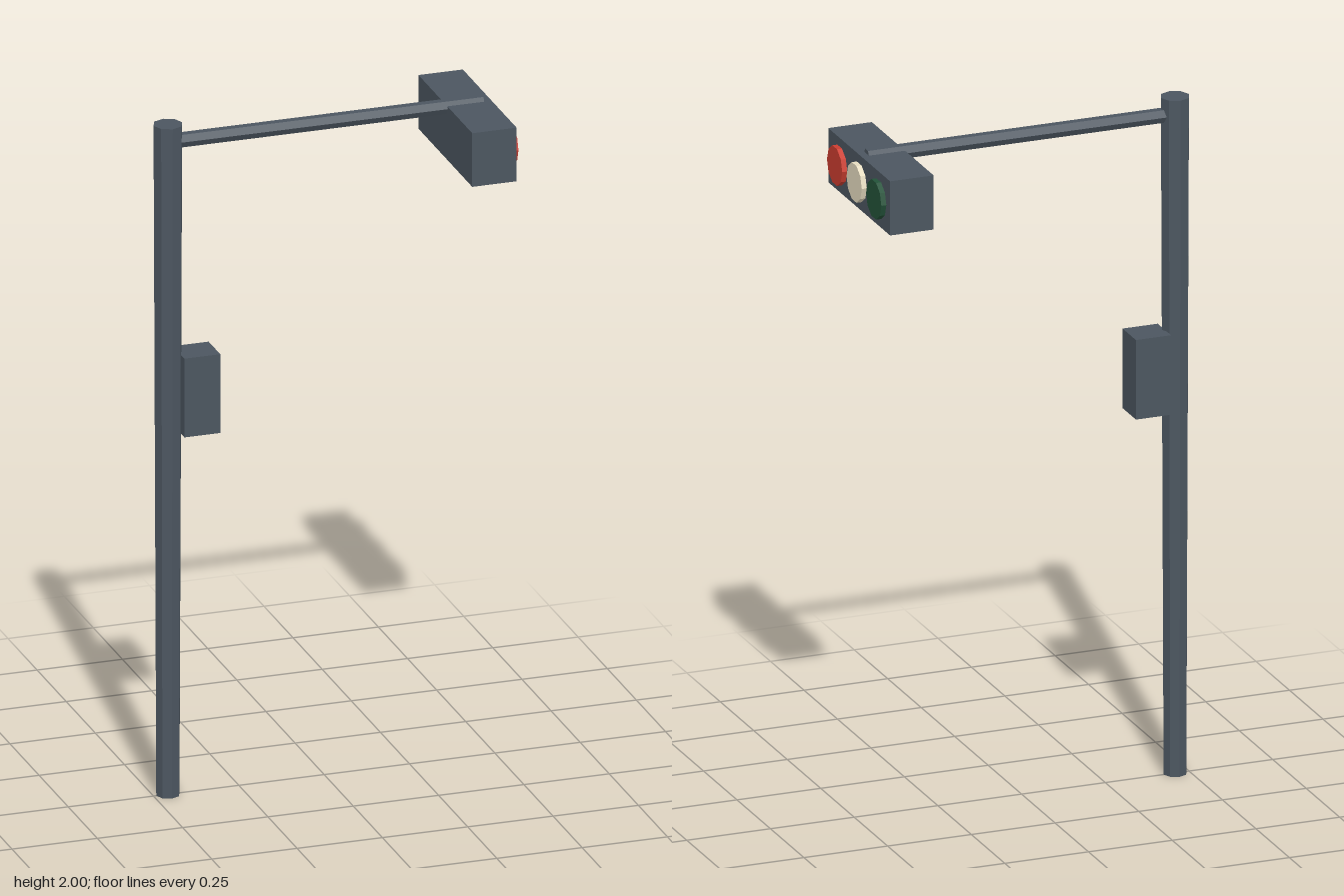
import * as THREE from 'three';

const paint = (color) => new THREE.MeshStandardMaterial({ color, flatShading: true });

export function createModel() {
  const group = new THREE.Group();
  const steel = paint(0x4c5660);

  function add(name, geometry, material, x, y, z) {
    const mesh = new THREE.Mesh(geometry, material);
    mesh.name = name;
    mesh.position.set(x, y, z);
    group.add(mesh);
    return mesh;
  }

  // Cylinder lying along x
  const rod = (radius, length, sides) =>
    new THREE.CylinderGeometry(radius, radius, length, sides).rotateZ(Math.PI / 2);

  // Octagonal pole, slightly wider at the top
  add('pole', new THREE.CylinderGeometry(0.042, 0.034, 2, 8), steel, -0.458, 1, 0);

  // Hexagonal arm reaching out over the road
  add('arm', rod(0.0215, 0.913, 6), steel, 0.0065, 1.948, 0);

  // Control box on the pole
  add('controlBox', new THREE.BoxGeometry(0.105, 0.235, 0.1), steel, -0.374, 1.197, 0);

  // Signal housing with three lamps facing +x
  add('signalHousing', new THREE.BoxGeometry(0.13, 0.16, 0.462), steel, 0.42, 1.875, 0);
  const lamps = [
    ['redLamp', 0xcc3d30, 0.146],
    ['amberLamp', 0xe6dcc0, 0],
    ['greenLamp', 0x235239, -0.146],
  ];
  for (const [name, color, z] of lamps) {
    add(name, rod(0.057, 0.03, 10), paint(color), 0.485, 1.875, z);
  }

  return group;
}
